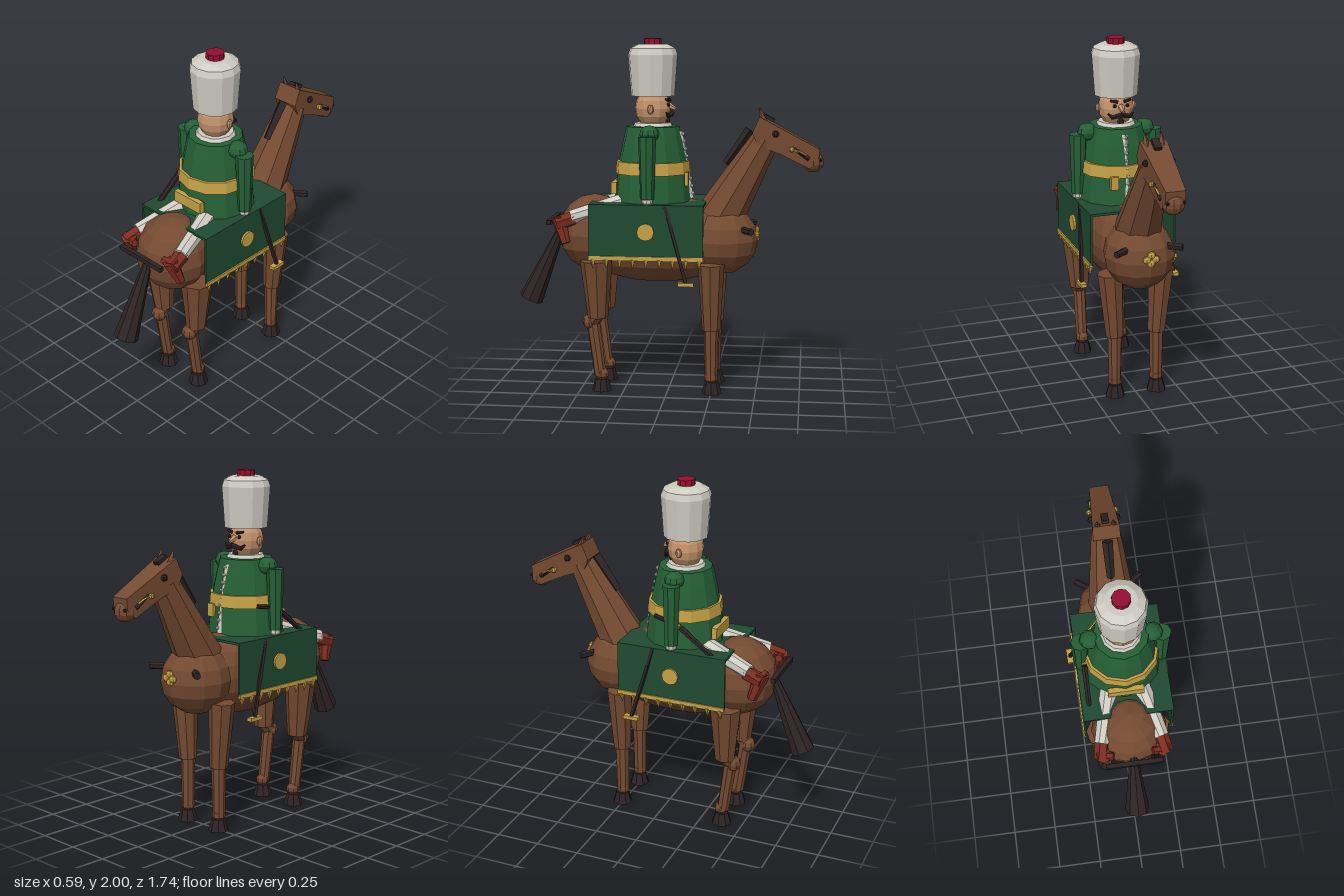
import * as THREE from 'three';

const mat = (name, color, flatShading = true) => {
  const m = new THREE.MeshStandardMaterial({ color, flatShading });
  m.name = name;
  return m;
};

export function createModel() {
  const brown = mat('horse brown', 0x744a31), dark = mat('dark', 0x2d2324);
  const green = mat('coat green', 0x255f36), cloth = mat('cloth green', 0x204a30);
  const gold = mat('gold', 0xc6a246), white = mat('off white', 0xcfccc2);
  const skin = mat('skin', 0xc4936c), red = mat('boot red', 0x7c2d20), crimson = mat('crimson', 0x96102f);
  cloth.side = THREE.DoubleSide;

  const root = new THREE.Group();
  const horse = new THREE.Group(), rider = new THREE.Group();
  horse.name = 'horse';
  rider.name = 'rider';
  root.add(horse, rider);

  const V = (a) => new THREE.Vector3(...a);
  const put = (parent, name, geo, m, pos = [0, 0, 0]) => {
    const mesh = new THREE.Mesh(geo, m);
    mesh.name = name;
    mesh.position.set(...pos);
    parent.add(mesh);
    return mesh;
  };
  const box = (p, name, m, size, pos) => put(p, name, new THREE.BoxGeometry(...size), m, pos);
  const ball = (p, name, m, r, pos, w = 10, h = 7) =>
    put(p, name, new THREE.SphereGeometry(1, w, h).scale(...(Array.isArray(r) ? r : [r, r, r])), m, pos);
  // tapered rod from a (radius ra) to b (radius rb)
  const rod = (p, name, m, a, b, ra, rb = ra, seg = 8) => {
    const d = V(b).sub(V(a));
    const mesh = put(p, name, new THREE.CylinderGeometry(rb, ra, d.length(), seg), m);
    mesh.position.copy(V(a).addScaledVector(d, 0.5));
    mesh.quaternion.setFromUnitVectors(new THREE.Vector3(0, 1, 0), d.normalize());
    return mesh;
  };
  const lathe = (p, name, m, pts, z, seg = 12) =>
    put(p, name, new THREE.LatheGeometry(pts.map((q) => new THREE.Vector2(...q)), seg), m, [0, 0, z]);

  // Horse body
  ball(horse, 'barrel', brown, [0.21, 0.25, 0.52], [0, 0.87, 0.07], 12, 10);
  ball(horse, 'rump', brown, [0.215, 0.22, 0.21], [0, 0.9, 0.43], 12, 8);
  ball(horse, 'chest', brown, [0.2, 0.2, 0.205], [0, 0.87, -0.3], 12, 8);
  rod(horse, 'neck', brown, [0, 0.97, -0.27], [0, 1.44, -0.54], 0.14, 0.08, 8);
  rod(horse, 'tail', dark, [0, 0.95, 0.61], [0, 0.5, 0.81], 0.02, 0.07, 8);

  // Head: side profile narrowed towards the muzzle
  const profile = new THREE.Shape([[0.51, 1.57], [0.845, 1.39], [0.84, 1.33], [0.79, 1.28], [0.63, 1.36], [0.5, 1.41], [0.47, 1.48]]
    .map((q) => new THREE.Vector2(...q)));
  const headGeo = new THREE.ExtrudeGeometry(profile, { depth: 0.15, bevelEnabled: false });
  headGeo.translate(0, 0, -0.075).rotateY(Math.PI / 2);
  const hp = headGeo.attributes.position;
  for (let i = 0; i < hp.count; i++) hp.setX(i, hp.getX(i) * (1 + 0.8 * (hp.getZ(i) + 0.5)));
  put(horse, 'horseHead', headGeo, brown);
  ball(horse, 'muzzle', brown, [0.062, 0.058, 0.06], [0, 1.315, -0.81], 10, 7);
  rod(horse, 'mane', dark, [0, 1.3, -0.32], [0, 1.49, -0.455], 0.022, 0.03, 4);
  box(horse, 'forelock', dark, [0.04, 0.02, 0.07], [0, 1.56, -0.56]).rotation.x = -0.5;

  // Legs, harness and cloth sides, mirrored
  for (const s of [-1, 1]) {
    const x = s * 0.125;
    rod(horse, 'ear', brown, [s * 0.045, 1.53, -0.535], [s * 0.045, 1.615, -0.505], 0.025, 0.002, 4);
    ball(horse, 'horseEye', dark, 0.019, [s * 0.074, 1.475, -0.6], 7, 5);
    ball(horse, 'nostril', dark, 0.01, [s * 0.045, 1.33, -0.85], 6, 4);
    rod(horse, 'mouthLine', dark, [s * 0.058, 1.395, -0.7], [s * 0.058, 1.335, -0.785], 0.013, 0.013, 4);
    rod(horse, 'bridleBar', gold, [s * 0.067, 1.4, -0.68], [s * 0.06, 1.355, -0.77], 0.007, 0.007, 5);
    ball(horse, 'bitRing', gold, 0.016, [s * 0.075, 1.39, -0.69], 7, 5);

    rod(horse, 'frontUpperLeg', brown, [s * 0.15, 0.75, -0.25], [x, 0.37, -0.25], 0.075, 0.052);
    rod(horse, 'frontLowerLeg', brown, [x, 0.38, -0.25], [x, 0.08, -0.25], 0.042, 0.036);
    ball(horse, 'frontFetlock', brown, 0.04, [x, 0.09, -0.25], 8, 5);
    rod(horse, 'frontHoof', dark, [x, 0, -0.255], [x, 0.068, -0.255], 0.057, 0.038);

    rod(horse, 'hindUpperLeg', brown, [s * 0.15, 0.76, 0.4], [s * 0.135, 0.43, 0.395], 0.092, 0.058);
    rod(horse, 'hindLink', brown, [s * 0.135, 0.45, 0.4], [x, 0.4, 0.43], 0.05, 0.04);
    ball(horse, 'hock', brown, 0.046, [x, 0.4, 0.44], 8, 6);
    rod(horse, 'hindLowerLeg', brown, [x, 0.4, 0.425], [x, 0.09, 0.385], 0.038, 0.035);
    ball(horse, 'hindFetlock', brown, 0.04, [x, 0.095, 0.375], 8, 5);
    rod(horse, 'hindHoof', dark, [x, 0, 0.377], [x, 0.068, 0.377], 0.057, 0.038);

    rod(horse, 'chestPeg', dark, [s * 0.1, 0.94, -0.41], [s * 0.19, 0.94, -0.475], 0.02, 0.02, 6);

    box(horse, 'clothSide', cloth, [0.012, 0.3, 0.64], [s * 0.246, 0.94, 0.107]);
    box(horse, 'clothTrim', gold, [0.02, 0.024, 0.64], [s * 0.25, 0.79, 0.107]);
    for (let i = 0; i < 9; i++)
      rod(horse, 'tassel', gold, [s * 0.25, 0.785, -0.19 + i * 0.074], [s * 0.245, 0.73, -0.19 + i * 0.074], 0.017, 0.002, 5);
    const disc = put(horse, 'clothMedallion', new THREE.CylinderGeometry(0.048, 0.048, 0.014, 12), gold, [s * 0.257, 0.94, 0.107]);
    disc.rotation.z = Math.PI / 2;
    rod(horse, 'stirrupStrap', dark, [s * 0.245, 1.085, 0], [s * 0.278, 0.66, -0.12], 0.012, 0.012, 4);
    box(horse, 'stirrup', gold, [0.035, 0.02, 0.088], [s * 0.278, 0.655, -0.12]);
  }
  box(horse, 'clothTop', cloth, [0.5, 0.014, 0.64], [0, 1.083, 0.107]);
  for (const [x, y] of [[-0.025, 0.9], [0.025, 0.9], [0, 0.925], [0, 0.88]])
    ball(horse, 'chestOrnament', gold, [0.025, 0.022, 0.015], [x, y, -0.5], 7, 5);
  box(horse, 'rearBar', dark, [0.32, 0.026, 0.026], [0, 0.97, 0.67]);

  // Rider torso
  const Z = 0.095;
  lathe(rider, 'coat', green, [[0.0, 1.08], [0.222, 1.08], [0.2, 1.28], [0.172, 1.42], [0.15, 1.51], [0, 1.515]], Z);
  lathe(rider, 'belt', gold, [[0.19, 1.245], [0.214, 1.245], [0.208, 1.315], [0.185, 1.315]], Z);
  lathe(rider, 'collar', white, [[0, 1.5], [0.118, 1.5], [0.1, 1.53], [0, 1.53]], Z);
  box(rider, 'backPouch', gold, [0.2, 0.065, 0.03], [0, 1.165, 0.305]);
  box(rider, 'frontPouch', gold, [0.045, 0.075, 0.02], [0.075, 1.22, -0.105]);
  rod(rider, 'frontLace', white, [0, 1.1, -0.121], [0, 1.48, -0.056], 0.018, 0.018, 4);
  for (let i = 0; i < 9; i++)
    ball(rider, 'button', white, 0.012, [0, 1.13 + i * 0.042, -0.134 + i * 0.0073], 6, 4);

  // Rider head and hat
  ball(rider, 'face', skin, [0.102, 0.115, 0.102], [0, 1.61, Z], 12, 8);
  rod(rider, 'nose', skin, [0, 1.625, 0.005], [0, 1.605, -0.035], 0.02, 0.01, 6);
  lathe(rider, 'hat', white, [[0, 1.68], [0.124, 1.68], [0.14, 1.91], [0.128, 1.945], [0.085, 1.968], [0, 1.968]], Z);
  rod(rider, 'hatKnob', crimson, [0, 1.955, Z], [0, 2, Z], 0.05, 0.05, 10);
  ball(rider, 'chinTuft', dark, [0.02, 0.025, 0.014], [0, 1.535, 0.01], 6, 5);

  // Mirrored rider parts
  for (const s of [-1, 1]) {
    ball(rider, 'ear', skin, [0.014, 0.027, 0.018], [s * 0.106, 1.608, Z], 8, 5);
    ball(rider, 'eye', dark, 0.011, [s * 0.037, 1.632, 0.002], 6, 5);
    rod(rider, 'eyebrow', dark, [s * 0.018, 1.655, 0.0], [s * 0.06, 1.662, 0.014], 0.01, 0.007, 5);
    rod(rider, 'moustache', dark, [0, 1.582, -0.012], [s * 0.055, 1.568, 0.0], 0.016, 0.012, 6);
    rod(rider, 'moustacheTip', dark, [s * 0.05, 1.567, 0.0], [s * 0.075, 1.59, 0.01], 0.012, 0.004, 6);
    ball(rider, 'shoulder', green, [0.058, 0.05, 0.055], [s * 0.168, 1.475, Z], 10, 6);
    rod(rider, 'arm', green, [s * 0.222, 1.465, 0.1], [s * 0.225, 1.12, 0.1], 0.05, 0.038);
    ball(rider, 'hand', white, [0.032, 0.03, 0.032], [s * 0.225, 1.108, 0.1], 8, 5);
    rod(rider, 'trouserLeg', white, [s * 0.075, 1.1, 0.2], [s * 0.17, 1.005, 0.54], 0.055, 0.042);
    rod(rider, 'bootShaft', red, [s * 0.165, 1.0, 0.52], [s * 0.185, 0.97, 0.62], 0.042, 0.04, 6);
    rod(rider, 'bootFoot', red, [s * 0.165, 1.0, 0.61], [s * 0.195, 0.86, 0.565], 0.045, 0.026, 6);
    rod(rider, 'bootToe', red, [s * 0.19, 0.97, 0.6], [s * 0.11, 0.985, 0.615], 0.03, 0.022, 6);
  }

  // Sword on the belt
  rod(rider, 'scabbard', dark, [-0.21, 1.22, 0.15], [-0.21, 1.06, 0.36], 0.018, 0.014, 6);
  rod(rider, 'swordGuard', gold, [-0.21, 1.25, 0.06], [-0.21, 1.225, 0.145], 0.012, 0.016, 6);
  rod(rider, 'swordGrip', dark, [-0.19, 1.26, -0.01], [-0.21, 1.25, 0.065], 0.013, 0.013, 6);

  return root;
}
